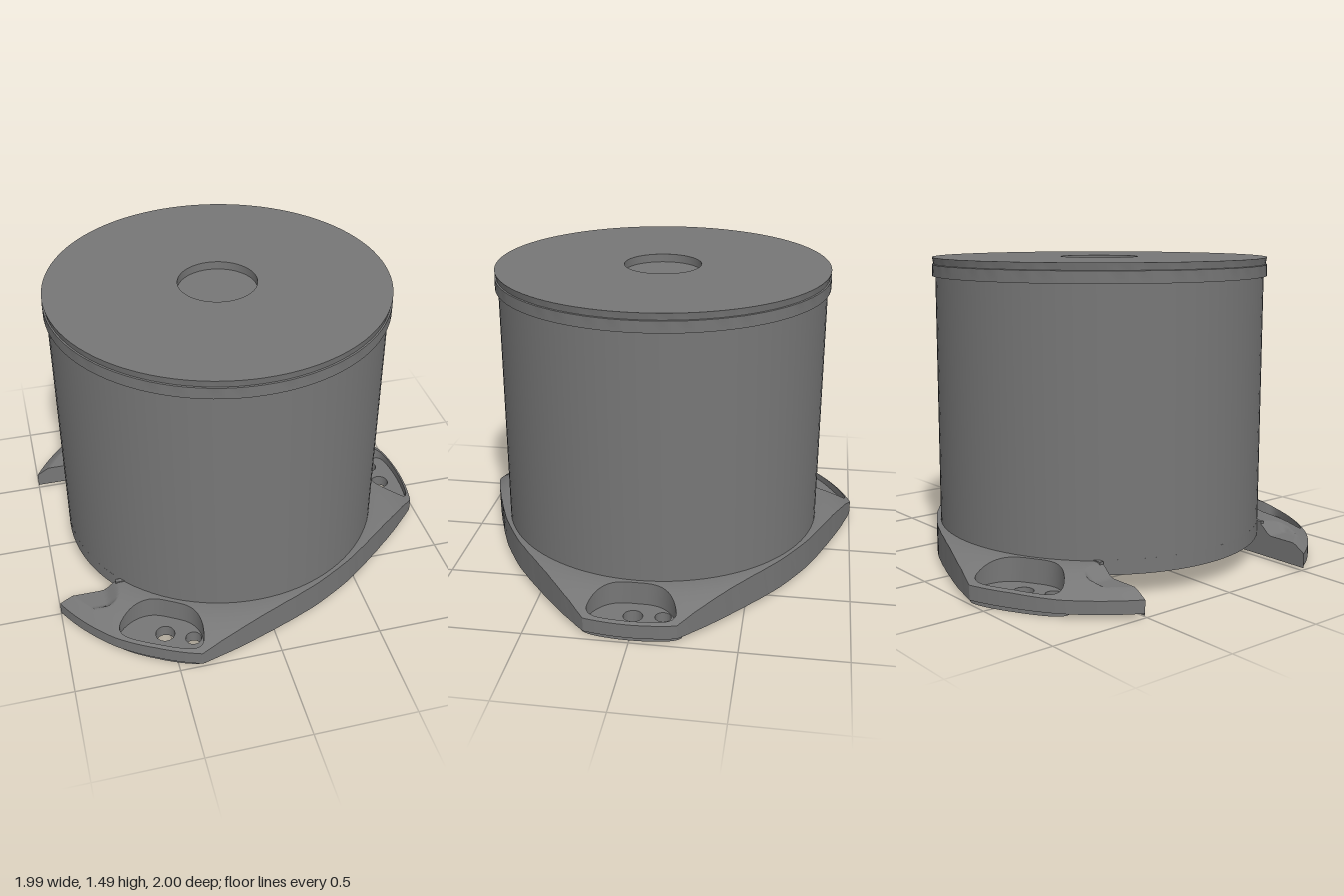
import * as THREE from 'three';
import { mergeGeometries, toCreasedNormals } from 'three/addons/utils/BufferGeometryUtils.js';

const CX = -0.065;             // axis of the drum
const DRUM = 0.81;             // drum radius
const ARMS = [-2 * Math.PI / 3, 0, 2 * Math.PI / 3];
const HALF = 0.21;             // half angle of a screw pocket
const CUT = 0.51;              // half width of the rear opening
const BEND = 2.31, END = 2.64; // angles where the arm ends skew onto the cut
const R0 = 0.78;
const FLOOR = 0.06;

const lerp = THREE.MathUtils.lerp;

// Flange outline radius: three lobes, the rear ones run on to the cut
function outline(th) {
  const past = Math.abs(th) - ARMS[2];
  if (past > 0) return 1.055 + 0.01 * Math.min(1, past / 0.2);
  const d = Math.min(...ARMS.map((a) => Math.abs(th - a)));
  const keys = [[0, 1.055], [0.208, 1.054], [0.30, 0.998], [0.41, 0.945], [0.52, 0.902],
    [0.655, 0.866], [0.8, 0.844], [0.96, 0.833], [1.06, 0.83]];
  for (let i = 1; i < keys.length; i++) {
    const [a, ra] = keys[i - 1], [b, rb] = keys[i];
    if (d <= b) return lerp(ra, rb, (d - a) / (b - a));
  }
  return 0.83;
}

// Inner and outer radius of the pocket at an angle (equal where there is none)
function pocket(th) {
  const R = outline(th);
  const arm = ARMS.find((a) => Math.abs(th - a) < HALF - 1e-6);
  if (arm === undefined) { const m = Math.min(1, R - 0.045); return [m, m]; }
  const t = Math.abs(th - arm) / HALF;
  return [1 - 0.17 * Math.sqrt(1 - t ** 3), 1 + (R - 1.015) * Math.sqrt(1 - t ** 8)];
}

// Polar position, with the arm ends skewed onto the straight cut
function place(th, r) {
  let a = Math.abs(th);
  if (a > BEND) {
    const s = (a - BEND) / (END - BEND);
    a = lerp(BEND, Math.PI - Math.asin(CUT / r), s);
  }
  return [CX + r * Math.cos(a), Math.sign(th) * r * Math.sin(a)];
}

// Domed top height, with a lowered step at the arm ends
function topY(x, z) {
  const r = Math.hypot(x - CX, z);
  const y = 0.175 - 0.09 * Math.max(0, (r - 0.82) / 0.24) ** 2;
  const t = Math.hypot(Math.max(0, Math.abs(z) - 0.61) / 0.07, Math.max(0, x + 0.79) / 0.09);
  return Math.min(y, 0.12 + 0.055 * THREE.MathUtils.smoothstep(t, 0, 1));
}

// Surface from rows of points
function skin(rows, crease = 0.5) {
  const pos = rows.flat(2), idx = [], n = rows[0].length;
  for (let i = 0; i < rows.length - 1; i++) for (let j = 0; j < n - 1; j++) {
    const a = i * n + j, b = a + 1, c = a + n, d = c + 1;
    idx.push(a, c, b, b, c, d);
  }
  const g = new THREE.BufferGeometry();
  g.setAttribute('position', new THREE.Float32BufferAttribute(pos, 3));
  g.setIndex(idx);
  return toCreasedNormals(g, crease);
}

function rowAngles() {
  const out = [];
  const span = (a, b, n) => { for (let i = 0; i < n; i++) out.push(lerp(a, b, i / n)); };
  span(-END, -BEND, 40);
  ARMS.forEach((arm, k) => {
    for (let i = 0; i <= 28; i++) out.push(arm - HALF * Math.cos(Math.PI * i / 28));
    if (k < 2) span(arm + HALF + 0.008, ARMS[k + 1] - HALF, 40);
  });
  span(BEND, END, 40);
  out.push(END);
  return out;
}

function flangeGeometry() {
  const angles = rowAngles();
  const top = (th, r) => { const [x, z] = place(th, r); return [x, topY(x, z), z]; };
  const under = (th, r) => { const p = top(th, r); p[1] -= 0.045; return p; };
  const at = (th, r, y) => { const [x, z] = place(th, r); return [x, y, z]; };
  const run = (f, th, a, b, n) => Array.from({ length: n + 1 }, (_, i) => f(th, lerp(a, b, i / n)));
  const strip = (fn, crease) => skin(angles.map((th) => {
    const R = outline(th), [ri, ro] = pocket(th);
    return fn(th, R, ri, ro, Math.max(R - 0.04, ro));
  }), crease);
  const parts = [
    strip((th, R, ri) => run(top, th, R0, ri, 24), 1.2),
    strip((th, R, ri, ro) => run(top, th, ro, R, 6), 1.2),
    strip((th, R) => [top(th, R), at(th, R, 0.02)], 0.2),
    strip((th, R, ri, ro, w) => [at(th, R, 0.02), at(th, w, 0.02)]),
    strip((th, R, ri, ro, w) => [at(th, w, 0.02), under(th, w)]),
    strip((th, R, ri, ro, w) => run(under, th, w, ro, 4), 1.2),
    strip((th, R, ri) => run(under, th, ri, R0, 8), 1.2),
  ];
  // flat faces closing the two arm ends
  for (const s of [-1, 1]) {
    const edge = run(top, s * END, R0, 1.065, 24);
    parts.push(skin([edge, edge.map(([x, , z]) => [x, 0.01, z])]));
  }
  return mergeGeometries(parts);
}

// Extrude a plan (x, z) shape upward from y
function slab(shape, y, h) {
  const g = new THREE.ExtrudeGeometry(shape, { depth: h, bevelEnabled: false, curveSegments: 24 });
  return toCreasedNormals(g.rotateX(-Math.PI / 2).translate(0, y, 0), 0.5);
}

// Closed plan loop around a pocket, optionally widened and moved in or out
function pocketLoop(arm, widen, inward, outward) {
  const pts = [];
  for (const side of [0, 1]) for (let i = 0; i < 28; i++) {
    const d = HALF * Math.cos(Math.PI * i / 28) * (side ? -1 : 1);
    const r = pocket(arm + d)[side] + (side ? outward : -inward) * Math.sin(Math.PI * i / 28);
    const a = arm + d * widen;
    pts.push([CX + r * Math.cos(a), r * Math.sin(a)]);
  }
  return pts;
}

export function createModel() {
  const group = new THREE.Group();
  const mat = new THREE.MeshStandardMaterial({ color: 0x777777, side: THREE.DoubleSide });
  const add = (name, geo, parent = group) => {
    const m = new THREE.Mesh(geo, mat);
    m.name = name;
    parent.add(m);
  };
  const lathe = (pts) => toCreasedNormals(
    new THREE.LatheGeometry(pts.map((p) => new THREE.Vector2(...p)), 96), 0.4).translate(CX, 0, 0);

  // Drum with rimmed lid and shallow centre recess
  add('drum', lathe([[DRUM, 0.15], [DRUM, 1.4]]));
  add('lid', lathe([[DRUM, 1.4], [0.825, 1.4], [0.825, 1.455], [0.818, 1.457], [0.824, 1.49],
    [0.19, 1.49], [0.19, 1.45], [0, 1.45]]));

  // Hollow three-lobed flange and the vaulted ceiling beneath the drum
  add('flange', flangeGeometry());
  const vault = [[0, 0.2]];
  for (let i = 0; i <= 10; i++) vault.push([lerp(0.51, R0, i / 10), 0.13 + 0.07 * (1 - i / 10) ** 2.5]);
  add('ceiling', lathe(vault));

  // Screw pockets: drilled boss below, wall rising to the dome above
  for (const arm of ARMS) {
    const pod = new THREE.Group();
    pod.name = 'screwPocket';
    group.add(pod);
    const inner = pocketLoop(arm, 1, 0, 0), outer = pocketLoop(arm, 1.14, 0.045, 0.005);
    const shape = new THREE.Shape(outer.map(([x, z]) => new THREE.Vector2(x, -z)));
    for (const [da, rad] of [[0, 0.046], [-0.15, 0.038]]) {
      const a = arm + da;
      shape.holes.push(new THREE.Path().absarc(
        CX + 0.935 * Math.cos(a), -0.935 * Math.sin(a), rad, 0, Math.PI * 2, true));
    }
    const wall = (loop, drop) => skin([...loop, loop[0]].map(
      ([x, z]) => [[x, Math.max(FLOOR, topY(x, z) - drop), z], [x, FLOOR, z]]));
    add('screwBoss', slab(shape, 0, FLOOR), pod);
    add('pocketWall', wall(inner, 0), pod);
    add('bossWall', wall(outer, 0.045), pod);
  }

  // Rear opening: roof plate under the drum and three walls around it
  const a = Math.asin(CUT / DRUM);
  const roof = new THREE.Shape();
  roof.absarc(CX, 0, DRUM, Math.PI - a, Math.PI + a, false);
  roof.lineTo(-0.15, -CUT);
  roof.lineTo(-0.15, CUT);
  add('openingRoof', slab(roof, 0.11, 0.07));
  for (const s of [-1, 1]) {
    add('openingSideWall', new THREE.BoxGeometry(0.58, 0.17, 0.02).translate(-0.43, 0.095, s * (CUT + 0.01)));
  }
  add('openingEndWall', new THREE.BoxGeometry(0.02, 0.17, 2 * CUT + 0.04).translate(-0.15, 0.095, 0));

  return group;
}
